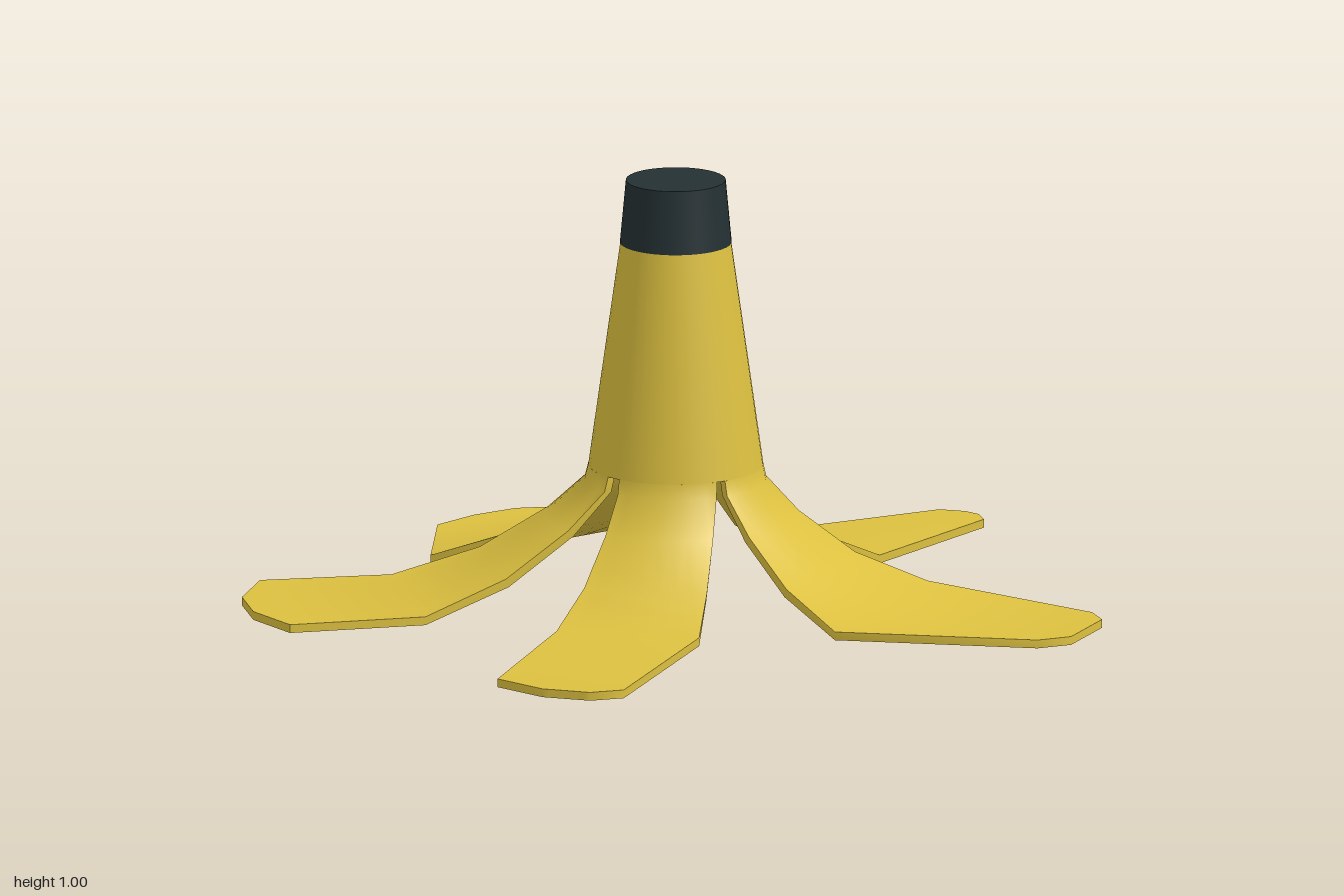
import * as THREE from 'three';
import { toCreasedNormals } from 'three/addons/utils/BufferGeometryUtils.js';

const AX = 0.02, AZ = -0.14; // stem axis
const ACROSS = 8;            // strips across each flap

// Slope stations: [fraction from stem to floor, top y, inward offset, downward offset]
const SLOPE = [
  [0, 0.31, 0.02, 0], [0.02, 0.275, 0.02, 0.003], [0.22, 0.19, 0.015, 0.015],
  [0.56, 0.09, 0.008, 0.02], [1, 0.02, 0, 0.02],
];

// Flap edges as [left, right] pairs of (x, z): at the stem, where it meets the floor, then the tip
const FLAPS = {
  leftSideFlap: [[[-0.17, -0.21], [-0.14, -0.02]], [[-0.64, -0.26], [-0.58, 0.15]],
    [[-0.95, -0.22], [-0.90, 0.21]], [[-1, -0.06], [-0.98, 0.08]]],
  frontFlap: [[[-0.12, 0.01], [0.11, 0.05]], [[-0.28, 0.30], [0.05, 0.38]],
    [[-0.44, 0.75], [-0.15, 0.87]], [[-0.34, 0.85], [-0.23, 0.89]]],
  frontSideFlap: [[[0.13, 0.04], [0.23, -0.16]], [[0.37, 0.34], [0.61, -0.14]],
    [[0.84, 0.44], [0.98, 0.18]], [[0.92, 0.41], [1, 0.25]]],
  backSideFlap: [[[0.22, -0.19], [0.09, -0.34]], [[0.51, -0.39], [0.25, -0.63]],
    [[0.77, -0.72], [0.67, -0.82]], [[0.76, -0.77], [0.73, -0.80]]],
  backFlap: [[[0.02, -0.35], [-0.14, -0.26]], [[-0.05, -0.77], [-0.54, -0.44]],
    [[-0.22, -0.89], [-0.51, -0.73]], [[-0.32, -0.88], [-0.42, -0.82]]],
};

const mix = (a, b, t) => a + (b - a) * t;

function flapGeometry(pairs) {
  const local = pairs.map(p => p.map(([x, z]) => new THREE.Vector2(x - AX, z - AZ)));
  const [root, floor, ...tips] = local;
  root.forEach(p => p.setLength(0.205));

  // Rows run outward; the section is an arc at the stem and straight on the floor
  const rows = SLOPE.map(([f, y, inward, down]) => ({
    l: root[0].clone().lerp(floor[0], f), r: root[1].clone().lerp(floor[1], f),
    bend: 1 - f * f, y, inward, down,
  }));
  tips.forEach(([l, r]) => rows.push({ l, r, bend: 0, y: 0.02, inward: 0, down: 0.02 }));

  const top = [], bottom = [];
  for (const { l, r, bend, y, inward, down } of rows) {
    const t = [], b = [];
    for (let j = 0; j <= ACROSS; j++) {
      const k = j / ACROSS;
      const p = l.clone().lerp(r, k);
      const len = p.length();
      p.setLength(mix(len, mix(l.length(), r.length(), k), bend));
      const q = p.clone().setLength(p.length() - inward);
      t.push([p.x + AX, y, p.y + AZ]);
      b.push([q.x + AX, y - down, q.y + AZ]);
    }
    top.push(t);
    bottom.push(b);
  }

  const pos = [];
  const quad = (a, b, c, d) => pos.push(...a, ...b, ...c, ...a, ...c, ...d);
  const last = rows.length - 1;
  for (let i = 0; i < last; i++) {
    for (let j = 0; j < ACROSS; j++) {
      quad(top[i][j], top[i + 1][j], top[i + 1][j + 1], top[i][j + 1]);
      quad(bottom[i][j], bottom[i][j + 1], bottom[i + 1][j + 1], bottom[i + 1][j]);
    }
    // side edges
    quad(top[i][0], bottom[i][0], bottom[i + 1][0], top[i + 1][0]);
    const n = ACROSS;
    quad(top[i][n], top[i + 1][n], bottom[i + 1][n], bottom[i][n]);
  }
  // tip edge
  for (let j = 0; j < ACROSS; j++) {
    quad(top[last][j], bottom[last][j], bottom[last][j + 1], top[last][j + 1]);
  }
  const g = new THREE.BufferGeometry();
  g.setAttribute('position', new THREE.Float32BufferAttribute(pos, 3));
  return toCreasedNormals(g, 0.95);
}

export function createModel() {
  const group = new THREE.Group();
  group.name = 'fruitPeel';
  const yellow = new THREE.MeshStandardMaterial({ color: 0xdcc040, side: THREE.DoubleSide });
  yellow.name = 'peelYellow';
  const dark = new THREE.MeshStandardMaterial({ color: 0x243033 });
  dark.name = 'stemDark';

  const add = (name, geometry, material) => {
    const mesh = new THREE.Mesh(geometry, material);
    mesh.name = name;
    group.add(mesh);
    return mesh;
  };

  // Hollow tapering peel
  const wall = [[0.185, 0.31], [0.205, 0.31], [0.13, 0.845], [0.11, 0.845], [0.185, 0.31]]
    .map(([r, y]) => new THREE.Vector2(r, y));
  add('peelTube', toCreasedNormals(new THREE.LatheGeometry(wall, 40), 0.6), yellow)
    .position.set(AX, 0, AZ);

  // Dark stem end
  add('stemEnd', new THREE.CylinderGeometry(0.117, 0.131, 0.15, 40), dark)
    .position.set(AX, 0.92, AZ);

  // Flaps spread on the floor
  for (const [name, pairs] of Object.entries(FLAPS)) add(name, flapGeometry(pairs), yellow);

  return group;
}
